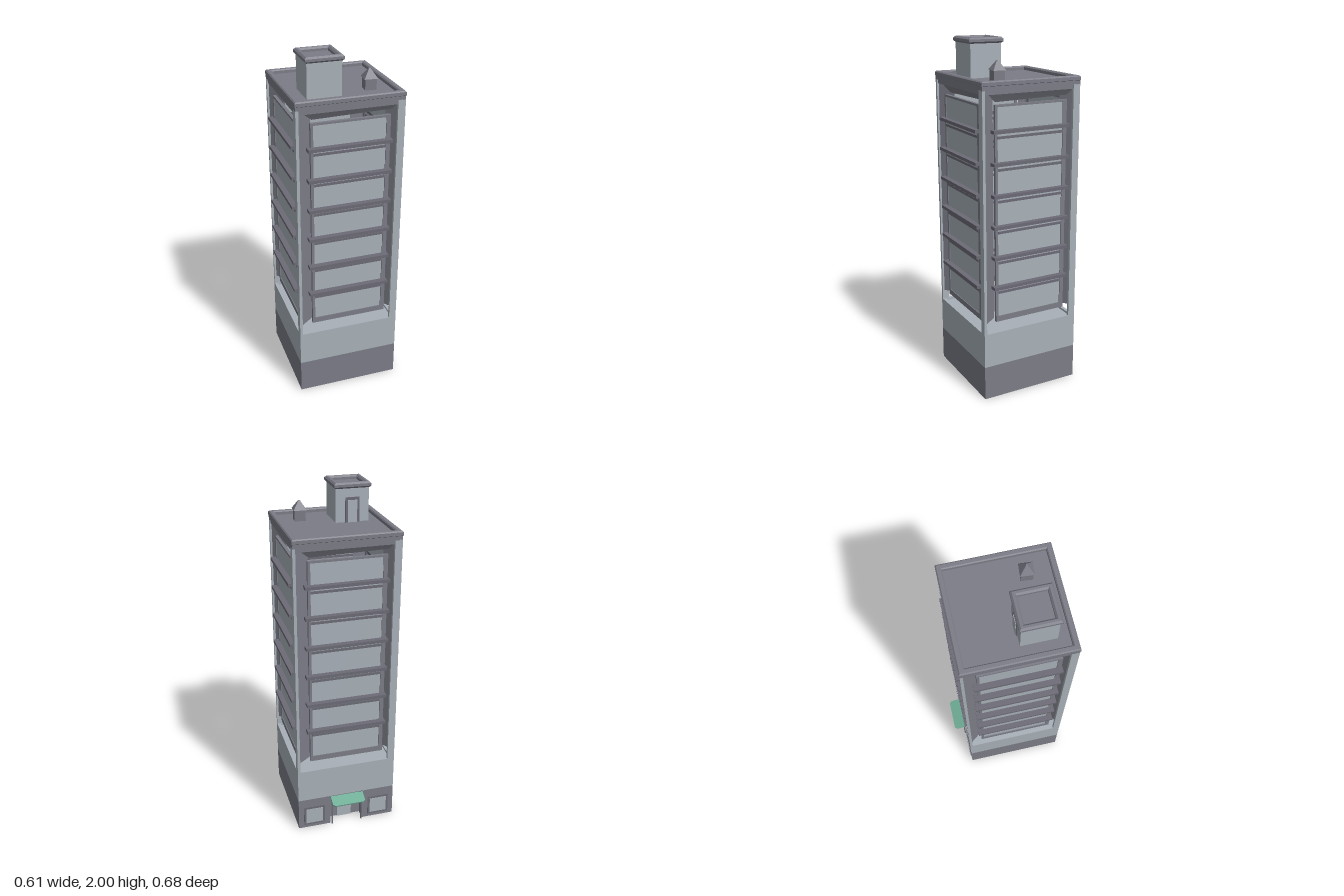
import * as THREE from 'three';

const mat = (name, color, side = THREE.FrontSide) => {
  const m = new THREE.MeshStandardMaterial({ color, side });
  m.name = name;
  return m;
};

export function createModel() {
  const light = mat('light concrete', 0xa8b0b8);
  const dark = mat('dark concrete', 0x7b7c86);
  const darkThin = mat('dark concrete sheet', 0x7b7c86, THREE.DoubleSide);
  const trim = mat('trim', 0x6c6b76);
  const green = mat('awning green', 0x70af98);

  const model = new THREE.Group();
  model.name = 'towerBuilding';
  const CZ = 0.0275, H = 0.2965; // centre of the plan and half its width

  const add = (parent, name, geo, material) => {
    const m = new THREE.Mesh(geo, material);
    m.name = name;
    parent.add(m);
    return m;
  };
  // box from its minimum and maximum corners
  const box = (parent, name, material, x0, x1, y0, y1, z0, z1) => {
    const m = add(parent, name, new THREE.BoxGeometry(x1 - x0, y1 - y0, z1 - z0), material);
    m.position.set((x0 + x1) / 2, (y0 + y1) / 2, (z0 + z1) / 2);
    return m;
  };
  const quad = (parent, name, a, b, c, d) => {
    const g = new THREE.BufferGeometry();
    g.setAttribute('position', new THREE.Float32BufferAttribute([...a, ...b, ...c, ...d], 3));
    g.setIndex([0, 1, 2, 0, 2, 3]);
    g.computeVertexNormals();
    return add(parent, name, g, darkThin);
  };
  // rectangular ring lying flat, with an opening
  const ring = (parent, name, material, cx, cz, half, inner, y0, height, bevel = 0) => {
    const s = new THREE.Shape();
    s.moveTo(-half, -half).lineTo(half, -half).lineTo(half, half).lineTo(-half, half).closePath();
    const h = new THREE.Path();
    h.moveTo(-inner, -inner).lineTo(-inner, inner).lineTo(inner, inner).lineTo(inner, -inner).closePath();
    s.holes.push(h);
    const g = new THREE.ExtrudeGeometry(s, {
      depth: height - 2 * bevel, bevelEnabled: bevel > 0, bevelSize: bevel,
      bevelThickness: bevel, bevelOffset: -bevel, bevelSegments: 1,
    });
    g.rotateX(-Math.PI / 2);
    const m = add(parent, name, g, material);
    m.position.set(cx, y0 + bevel, cz);
    return m;
  };

  // base storeys, with an entrance recess at the back
  const base = new THREE.Group();
  base.name = 'base';
  model.add(base);
  const back = CZ - H, front = CZ + H;
  box(base, 'groundFloor', dark, -H, H, 0, 0.2, back + 0.06, front);
  for (const s of [-1, 1]) {
    const [a, b] = s < 0 ? [-H, -0.1] : [0.1, H];
    box(base, 'entranceSide', dark, a, b, 0, 0.2, back, back + 0.06);
    box(base, 'shopWindowFrame', trim, s * 0.2 - 0.065, s * 0.2 + 0.065, 0.02, 0.145, back - 0.004, back);
    box(base, 'shopWindow', light, s * 0.2 - 0.052, s * 0.2 + 0.052, 0.033, 0.132, back - 0.007, back);
    box(base, 'awningPost', trim, s * 0.092 - 0.004, s * 0.092 + 0.004, 0, 0.18, back - 0.012, back - 0.004);
  }
  box(base, 'door', light, -0.045, 0.045, 0, 0.14, back + 0.053, back + 0.06);
  box(base, 'upperBase', light, -H, H, 0.2, 0.39, back, front);
  ring(base, 'baseRim', light, 0, CZ, H, H - 0.02, 0.39, 0.012);

  // sloping entrance awning
  const awnShape = new THREE.Shape();
  awnShape.moveTo(-0.1, 0).lineTo(0.1, 0).lineTo(0.1, 0.06).lineTo(0.088, 0.073).lineTo(-0.088, 0.073).lineTo(-0.1, 0.06).closePath();
  const awnGeo = new THREE.ExtrudeGeometry(awnShape, { depth: 0.009, bevelEnabled: false });
  awnGeo.rotateX(-Math.PI / 2);
  const awning = add(model, 'awning', awnGeo, green);
  awning.position.set(0, 0.19, back);
  awning.rotation.x = -0.33;

  // four matching facades
  for (let i = 0; i < 4; i++) {
    const side = new THREE.Group();
    side.name = 'facade';
    side.position.z = CZ;
    side.rotation.y = i * Math.PI / 2;
    model.add(side);
    box(side, 'cornerPost', light, 0.255, H, 0.4, 1.76, H - 0.016, H);
    quad(side, 'sideReveal', [-0.28, 0.46, 0.285], [-0.2, 0.46, 0.225], [-0.2, 1.72, 0.225], [-0.28, 1.75, 0.285]);
    quad(side, 'topReveal', [-0.28, 1.76, 0.29], [-0.2, 1.69, 0.25], [0.24, 1.7, 0.25], [0.28, 1.76, 0.29]);
    box(side, 'lintel', dark, -0.28, 0.255, 1.735, 1.765, 0.27, 0.29);
    // glazing with its frame
    box(side, 'glazing', light, -0.2, 0.2, 0.49, 1.67, 0.268, 0.275);
    for (const [a, b] of [[-0.215, -0.2], [0.2, 0.224]])
      box(side, 'frameUpright', dark, a, b, 0.46, 1.68, 0.262, 0.28);
    box(side, 'frameSill', dark, -0.2, 0.2, 0.46, 0.492, 0.262, 0.28);
    box(side, 'frameHead', dark, -0.2, 0.2, 1.668, 1.68, 0.262, 0.28);
    // floor ledges
    for (let f = 0; f < 6; f++) {
      const y = 0.668 + f * 0.1745;
      box(side, 'ledge', trim, -0.235, 0.23, y - 0.009, y + 0.009, 0.265, 0.307);
      box(side, 'glazingBar', trim, -0.2, 0.2, y - 0.041, y - 0.027, 0.265, 0.281);
    }
  }

  // roof with a shallow parapet
  box(model, 'roofSlab', dark, -H, H, 1.757, 1.783, back, front);
  ring(model, 'parapet', dark, 0, CZ, H + 0.002, H - 0.03, 1.775, 0.03, 0.006);

  // roof house with a hollow cap and a door at the back
  const hx = -0.115, hz = 0.14;
  box(model, 'roofHouse', light, hx - 0.094, hx + 0.094, 1.77, 1.972, hz - 0.094, hz + 0.094);
  ring(model, 'roofHouseCap', dark, hx, hz, 0.104, 0.074, 1.968, 0.032, 0.009);
  box(model, 'roofHouseTop', dark, hx - 0.09, hx + 0.09, 1.97, 1.978, hz - 0.09, hz + 0.09);
  box(model, 'roofDoorFrame', trim, hx - 0.04, hx + 0.04, 1.78, 1.92, hz - 0.1, hz - 0.094);
  box(model, 'roofDoor', light, hx - 0.026, hx + 0.026, 1.78, 1.905, hz - 0.103, hz - 0.094);

  // vent with a pointed cap
  const vent = new THREE.Group();
  vent.name = 'vent';
  vent.position.set(0.155, 0, 0.163);
  vent.rotation.y = -0.08;
  model.add(vent);
  box(vent, 'ventShaft', dark, -0.031, 0.031, 1.775, 1.845, -0.031, 0.031);
  const cap = add(vent, 'ventCap', new THREE.CylinderGeometry(0.006, 0.052, 0.05, 4).toNonIndexed(), dark);
  cap.geometry.computeVertexNormals();
  cap.rotation.y = Math.PI / 4;
  cap.position.y = 1.868;

  return model;
}
